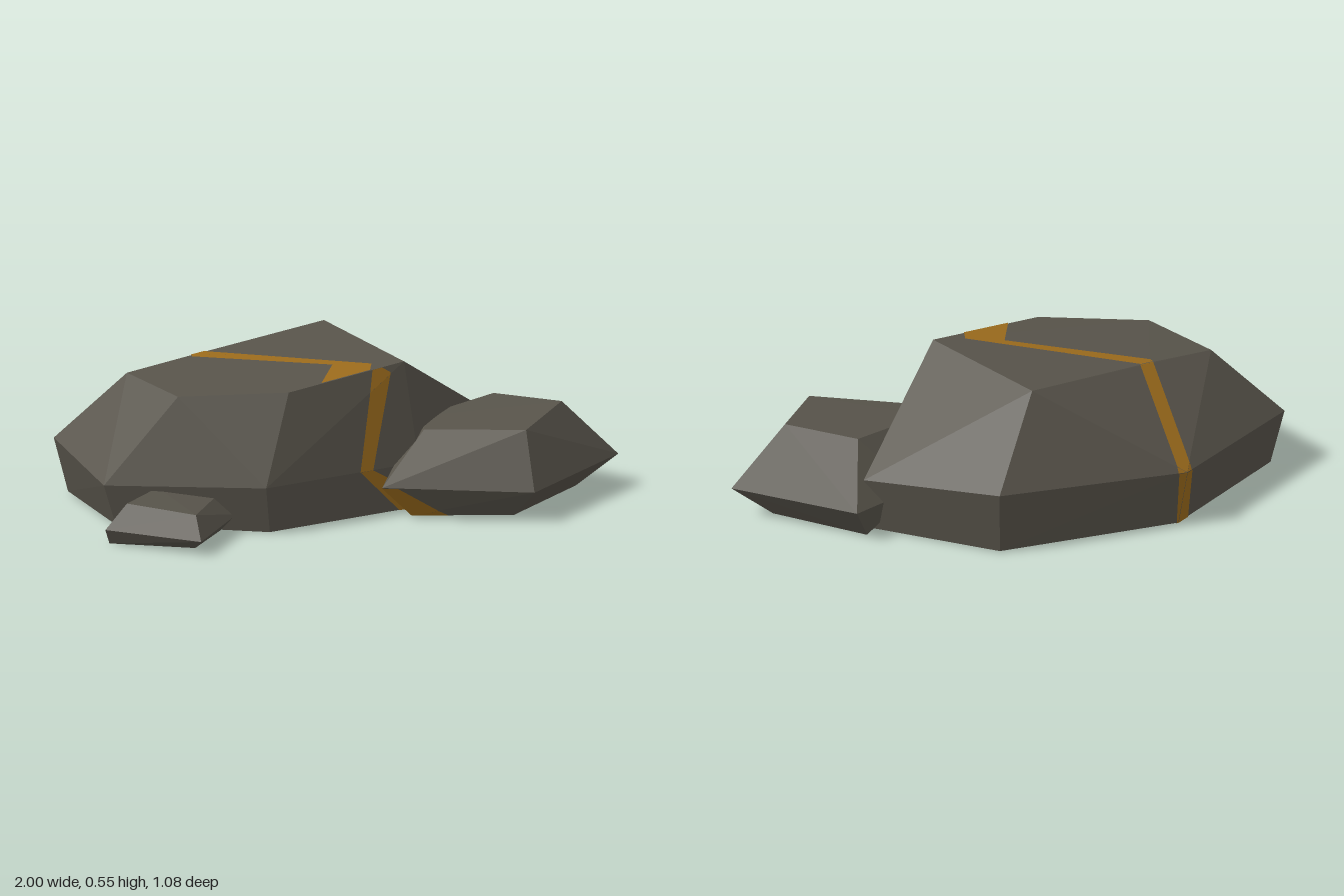
import * as THREE from 'three';
import { ConvexGeometry } from 'three/addons/geometries/ConvexGeometry.js';

const stone = new THREE.MeshStandardMaterial({ color: 0x57534a, flatShading: true });
const ore = new THREE.MeshStandardMaterial({ color: 0x9a6a1c, flatShading: true });

// Faceted boulder: hull of base, widest and top rings
function boulder(name, rings) {
  const points = rings.flat().map(p => new THREE.Vector3(...p));
  const mesh = new THREE.Mesh(new ConvexGeometry(points), stone);
  mesh.name = name;
  return mesh;
}

// Keep the part of a polygon on the inner side of each edge of a projected quad
function clip(poly, quad, flat) {
  const cx = quad.reduce((s, q) => s + q[0], 0) / 4;
  const cy = quad.reduce((s, q) => s + q[1], 0) / 4;
  quad.forEach((a, i) => {
    const b = quad[(i + 1) % 4];
    const side = (x, y) => (b[0] - a[0]) * (y - a[1]) - (b[1] - a[1]) * (x - a[0]);
    const sign = Math.sign(side(cx, cy));
    const out = [];
    poly.forEach((p, j) => {
      const q = poly[(j + 1) % poly.length];
      const dp = sign * side(...flat(p)), dq = sign * side(...flat(q));
      if (dp >= 0) out.push(p);
      if (dp * dq < 0) out.push(p.clone().lerp(q, dp / (dp - dq)));
    });
    poly = out;
  });
  return poly;
}

// Vein strip lying on the faces of a boulder that pass the facing test
function vein(name, rock, quads, flat, facing) {
  const pos = rock.geometry.attributes.position;
  const verts = [];
  for (let i = 0; i < pos.count; i += 3) {
    const tri = [0, 1, 2].map(k => new THREE.Vector3().fromBufferAttribute(pos, i + k));
    const n = new THREE.Triangle(...tri).getNormal(new THREE.Vector3());
    if (!facing(n)) continue;
    for (const quad of quads) {
      const poly = clip(tri, quad, flat).map(p => p.clone().addScaledVector(n, 0.003));
      for (let k = 1; k + 1 < poly.length; k++) {
        for (const p of [poly[0], poly[k], poly[k + 1]]) verts.push(p.x, Math.max(p.y, 0), p.z);
      }
    }
  }
  const geo = new THREE.BufferGeometry();
  geo.setAttribute('position', new THREE.Float32BufferAttribute(verts, 3));
  geo.computeVertexNormals();
  const mesh = new THREE.Mesh(geo, ore);
  mesh.name = name;
  return mesh;
}

export function createModel() {
  const group = new THREE.Group();
  group.name = 'rockCluster';

  const middle = [[-1, 0.21, -0.24], [-0.49, 0.22, -0.54], [0.22, 0.245, -0.48], [0.6, 0.21, -0.12],
    [0.24, 0.18, 0.24], [-0.36, 0.18, 0.38], [-0.91, 0.16, 0.16]];
  const mainRock = boulder('mainRock', [
    middle.map(([x, , z]) => [x * 0.95, 0.004, z * 0.95]),
    middle,
    [[-0.75, 0.47, -0.15], [-0.49, 0.5, -0.2], [0.02, 0.55, -0.31],
      [0.2, 0.55, 0.18], [-0.25, 0.5, 0.27], [-0.63, 0.47, 0.14]],
  ]);

  const sideRock = boulder('sideRock', [
    [[0.2, 0, 0.3], [0.56, 0, 0.38], [0.85, 0, 0.13], [0.6, 0, -0.15]],
    [[0.08, 0.13, 0.34], [0.61, 0.12, 0.49], [1, 0.12, 0.16], [0.66, 0.125, -0.2], [0.4, 0.13, -0.12]],
    [[0.27, 0.29, 0.2], [0.61, 0.315, 0.36], [0.79, 0.34, 0.16], [0.58, 0.325, -0.02], [0.28, 0.3, 0.09]],
  ]);

  const smallRock = boulder('smallRock', [
    [[-0.93, 0, 0.33], [-0.64, 0, 0.45], [-0.5, 0, 0.28], [-0.78, 0, 0.17]],
    [[-0.95, 0.06, 0.35], [-0.64, 0.055, 0.54], [-0.45, 0.06, 0.3], [-0.8, 0.06, 0.15]],
    [[-0.86, 0.14, 0.31], [-0.64, 0.13, 0.46], [-0.52, 0.13, 0.28], [-0.72, 0.15, 0.2]],
  ]);

  // Zigzag vein: plan strips for top and underside, elevation strips for the steep sides
  const plan = p => [p.x, p.z], elevation = p => [p.x, p.y];
  const back = [[-0.515, -0.6], [-0.46, -0.6], [-0.445, -0.205], [-0.5, -0.18]];
  const diagonal = [[-0.5, -0.18], [-0.445, -0.205], [0.085, 0.155], [-0.04, 0.11]];
  const hook = [[-0.04, 0.09], [0.085, 0.155], [0.05, 0.26], [-0.13, 0.26]];
  const under = [[-0.02, 0.12], [0.07, 0.145], [0.28, 0.26], [0.14, 0.34]];
  const upperFront = [[0.08, 0.56], [0.145, 0.52], [0.06, 0.18], [0.01, 0.18]];
  const lowerFront = [[0.01, 0.18], [0.06, 0.18], [0.33, 0], [0.17, 0]];
  const backDrop = [[-0.515, 0], [-0.46, 0], [-0.46, 0.3], [-0.515, 0.3]];

  group.add(
    mainRock, sideRock, smallRock,
    vein('topVein', mainRock, [back, diagonal, hook], plan, n => n.y > 0.25 && n.z < 0.6),
    vein('frontVein', mainRock, [upperFront, lowerFront], elevation, n => n.z > 0.3),
    vein('backVein', mainRock, [backDrop], elevation, n => n.z < -0.3 && n.y < 0.25),
    vein('undersideVein', mainRock, [back, diagonal, under], plan, n => n.y < -0.6),
    vein('sideRockVein', sideRock, [lowerFront], elevation, n => n.z > 0.2 && n.y < 0.1),
  );
  // Let the underside strip show just below the main rock's base
  return group;
}
